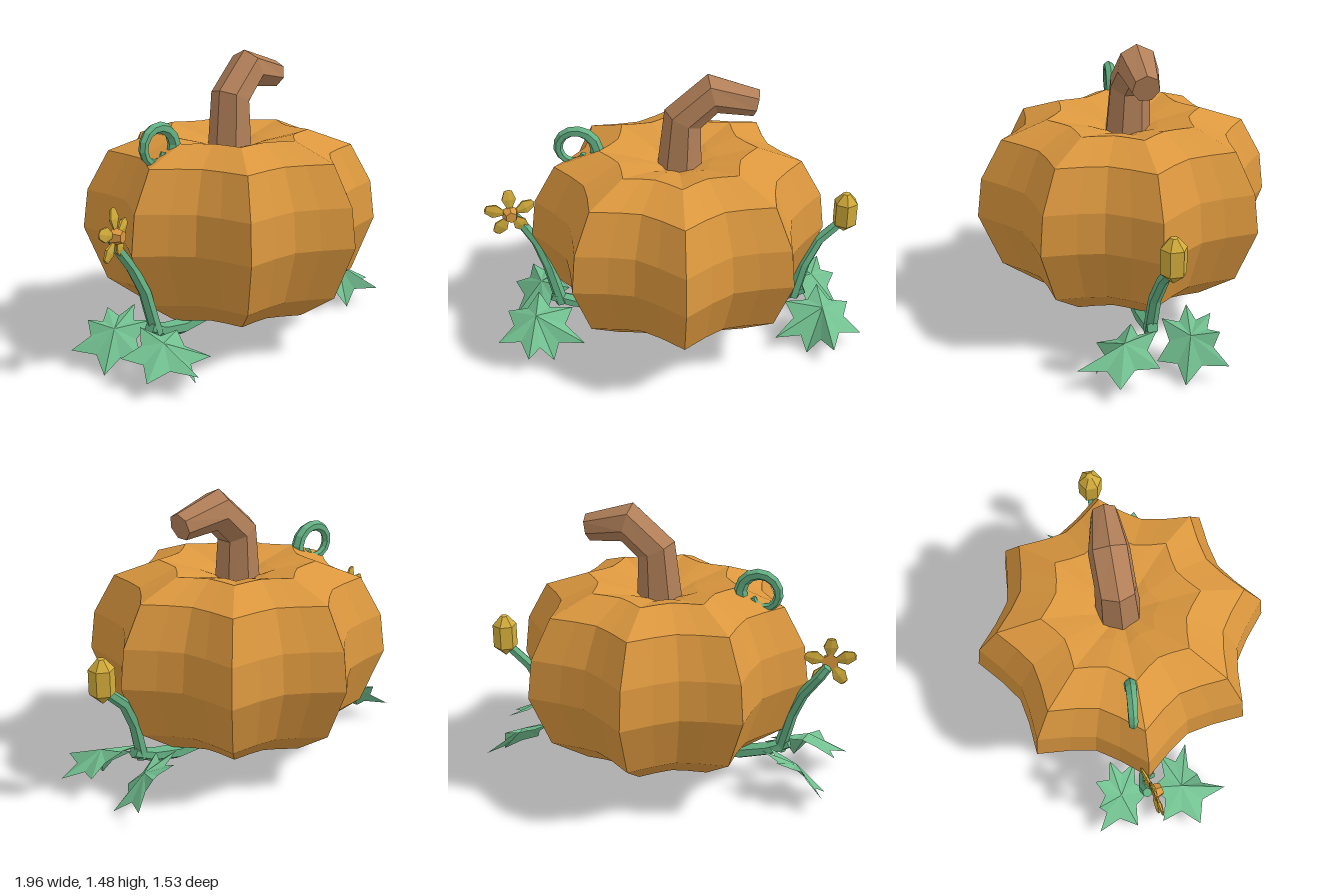
import * as THREE from 'three';

const CX = 0.03; // pumpkin axis, also the mirror line of the vines
const V = (x, y, z) => new THREE.Vector3(x, y, z);

const mat = (name, color, side = THREE.FrontSide) => {
  const m = new THREE.MeshStandardMaterial({ color, side, flatShading: true });
  m.name = name;
  return m;
};

function mesh(name, geometry, material) {
  const m = new THREE.Mesh(geometry, material);
  m.name = name;
  return m;
}

function fromTriangles(points) {
  const g = new THREE.BufferGeometry().setFromPoints(points);
  g.computeVertexNormals();
  return g;
}

// Skin over closed rings, with a fan on each end
function loft(rings) {
  const tris = [];
  const n = rings[0].length;
  const centre = (r) => r.reduce((s, p) => s.add(p), V(0, 0, 0)).divideScalar(n);
  const first = rings[0], last = rings[rings.length - 1];
  const c0 = centre(first), c1 = centre(last);
  for (let j = 0; j < n; j++) {
    const k = (j + 1) % n;
    for (let i = 0; i < rings.length - 1; i++) {
      const a = rings[i], b = rings[i + 1];
      tris.push(a[j], a[k], b[k], a[j], b[k], b[j]);
    }
    tris.push(c0, first[k], first[j], c1, last[j], last[k]);
  }
  return fromTriangles(tris);
}

// Faceted tube whose path lies close to the xy plane
function tube(path, radii, sides) {
  const z = V(0, 0, 1);
  return loft(path.map((c, i) => {
    const before = path[Math.max(i - 1, 0)], after = path[Math.min(i + 1, path.length - 1)];
    const dirIn = c.clone().sub(before).normalize(), dirOut = after.clone().sub(c).normalize();
    const n = z.clone().cross(dirIn.add(dirOut)).normalize();
    return Array.from({ length: sides }, (_, j) => {
      const a = (j / sides) * Math.PI * 2;
      return c.clone().addScaledVector(n, radii[i] * Math.cos(a)).addScaledVector(z, radii[i] * Math.sin(a));
    });
  }));
}

// Eight sharp ridges with scooped hollows between them
function bodyGeometry() {
  const profile = [[0.22, 0.14], [0.45, 0.185], [0.65, 0.32], [0.765, 0.6], [0.74, 0.8],
    [0.63, 1.0], [0.4, 1.085], [0.2, 1.04], [0.08, 1.0]];
  return loft(profile.map(([r, y]) => Array.from({ length: 32 }, (_, j) => {
    const a = (j / 32) * Math.PI * 2;
    const q = r * (1 - 0.18 * Math.abs(Math.sin(4 * a)));
    return V(CX - q * Math.cos(a), y, q * Math.sin(a));
  })));
}

// Pointed leaf: ridges run to the tips, notches lie between them
function leafGeometry(centre, tips) {
  const tris = [];
  tips.forEach((tip, i) => {
    const next = tips[(i + 1) % tips.length];
    const notch = tip.clone().add(next).multiplyScalar(0.5).sub(centre).multiplyScalar(0.68).add(centre);
    notch.y -= 0.015;
    tris.push(centre, notch, tip, centre, next, notch);
  });
  return fromTriangles(tris);
}

const lathe = (points, sides) =>
  new THREE.LatheGeometry(points.map(([r, y]) => new THREE.Vector2(r, y)), sides);

export function createModel() {
  const orange = mat('pumpkin orange', 0xdb973e);
  const brown = mat('stem brown', 0xb28059);
  const green = mat('vine green', 0x64b184);
  const leafGreen = mat('leaf green', 0x72c090, THREE.DoubleSide);
  const yellow = mat('blossom yellow', 0xd2ac3a);
  const model = new THREE.Group();
  model.name = 'pumpkin';

  model.add(mesh('body', bodyGeometry(), orange));

  // Bent stem
  const stemPath = [V(0.04, 0.98, -0.01), V(0.055, 1.255, -0.02), V(0.2, 1.385, -0.025), V(0.415, 1.335, -0.01)];
  model.add(mesh('stem', tube(stemPath, [0.118, 0.104, 0.104, 0.07], 7), brown));

  // Leaves and ground runner, mirrored on both sides
  const frontTips = [[0.99, 0.09, 0.26], [0.82, 0.11, 0.43], [0.7, 0.005, 0.31], [0.535, 0.08, 0.27],
    [0.6, 0.2, 0.11], [0.78, 0.25, 0.03], [0.95, 0.15, 0.06]];
  const backTips = [[0.935, 0.1, -0.285], [0.83, 0.23, -0.27], [0.695, 0.26, -0.265], [0.6, 0.27, -0.17],
    [0.62, 0.22, -0.04], [0.76, 0.07, 0.02], [0.925, 0.02, -0.075]];
  for (const s of [1, -1]) {
    const P = (p) => V(CX + s * (p[0] - CX), p[1], p[2]);
    const side = new THREE.Group();
    side.name = s > 0 ? 'leftVine' : 'rightVine';
    side.add(mesh('frontLeaf', leafGeometry(P([0.79, 0.21, 0.19]), frontTips.map(P)), leafGreen));
    side.add(mesh('backLeaf', leafGeometry(P([0.78, 0.2, -0.14]), backTips.map(P)), leafGreen));
    const runner = [[0.18, 0.17, 0], [0.45, 0.15, 0.01], [0.6, 0.18, 0.02], [0.71, 0.225, 0.03]];
    side.add(mesh('runner', tube(runner.map(P), [0.05, 0.042, 0.036, 0.03], 6), green));
    model.add(side);
  }

  // Upright stalks for the bud and the flower
  const budStalk = [V(0.655, 0.18, 0.03), V(0.705, 0.38, 0.02), V(0.78, 0.52, 0), V(0.9, 0.63, -0.01)];
  model.add(mesh('budStalk', tube(budStalk, [0.034, 0.032, 0.03, 0.027], 6), green));
  const flowerStalk = [V(-0.6, 0.18, 0.03), V(-0.66, 0.41, 0.01), V(-0.715, 0.54, -0.02), V(-0.8, 0.66, -0.04),
    V(-0.835, 0.71, -0.03)];
  model.add(mesh('flowerStalk', tube(flowerStalk, [0.034, 0.032, 0.03, 0.027, 0.025], 6), green));

  const bud = mesh('bud', lathe([[0, 0.565], [0.064, 0.62], [0.064, 0.745], [0.02, 0.795], [0, 0.8]], 6), yellow);
  bud.position.set(0.91, 0, -0.008);
  model.add(bud);

  // Five-petalled flower
  const flower = new THREE.Group();
  flower.name = 'flower';
  const petal = lathe([[0, 0.025], [0.016, 0.035], [0.042, 0.085], [0.024, 0.13], [0, 0.138]], 6);
  petal.scale(1, 1, 0.3);
  petal.rotateX(-0.12);
  for (let i = 0; i < 5; i++) {
    const p = mesh('petal', petal, yellow);
    p.rotation.z = (i / 5) * Math.PI * 2;
    flower.add(p);
  }
  const core = mesh('flowerCentre', new THREE.CylinderGeometry(0.03, 0.045, 0.05, 6), orange);
  core.rotation.x = Math.PI / 2;
  core.position.z = 0.012;
  flower.add(core);
  flower.position.set(-0.84, 0.728, 0.005);
  flower.rotation.y = 0.25;
  model.add(flower);

  // Curled tendril
  const curl = [], curlRadii = [];
  for (let i = 0; i <= 14; i++) {
    const t = i / 14, a = -0.35 + t * 6.1, r = 0.108 - 0.06 * t * t;
    curl.push(V(-0.488 + r * Math.cos(a), 1.075 + r * Math.sin(a), -0.045 + 0.12 * r * Math.cos(a)));
    curlRadii.push(0.034 - 0.018 * t);
  }
  model.add(mesh('tendril', tube(curl, curlRadii, 6), green));

  return model;
}
